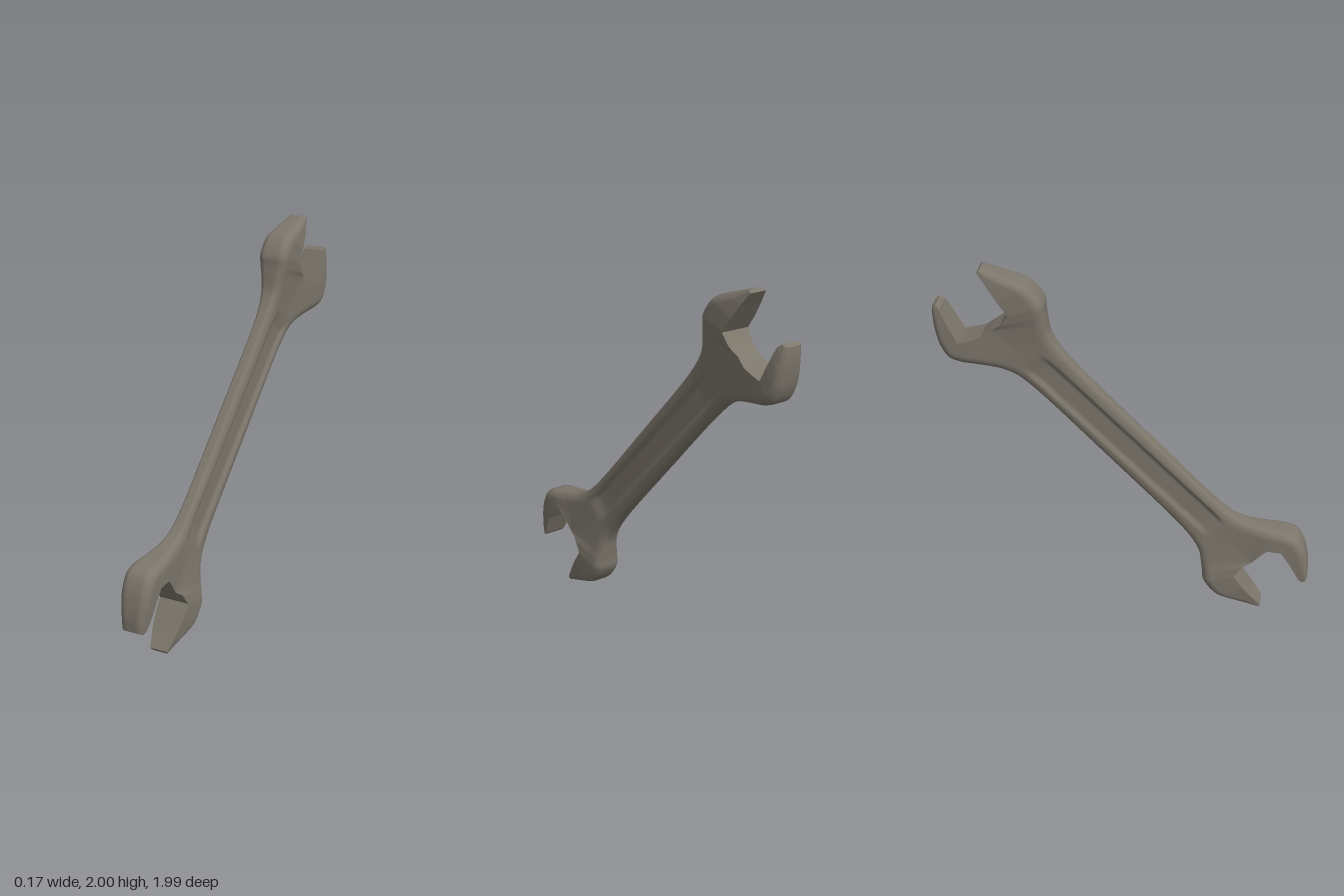
import * as THREE from 'three';
import { mergeVertices, mergeGeometries } from 'three/addons/utils/BufferGeometryUtils.js';

const SUB = 8;    // steps between stations
const N = 18;     // points across one face of a strip
const MOUTH = 4;  // station where the centre line splits into the two jaws

// Stations: [outer u, outer v, inner u, inner v, half thickness]; u runs to the back, v up.
const shank = [[0, 1, 0.042], [0.388, 1.388, 0.042], [0.5, 1.495, 0.048], [0.6, 1.59, 0.058], [0.692, 1.67, 0.068]];
const upperOuter = [[-0.088, 1.088], [0.283, 1.48], [0.366, 1.588], [0.398, 1.652], [0.41, 1.72]];
const lowerOuter = [[0.088, 0.912], [0.465, 1.3], [0.575, 1.394], [0.65, 1.428], [0.72, 1.443]];
const join = (outer) => outer.map((o, i) => [...o, ...shank[i]]);

const longJaw = [
  ...join(upperOuter),
  [0.418, 1.775, 0.639, 1.706, 0.078], [0.425, 1.83, 0.596, 1.77, 0.085],
  [0.495, 1.92, 0.65, 1.845, 0.083], [0.607, 1.963, 0.7, 1.915, 0.07],
  [0.735, 2.0, 0.751, 1.982, 0.05],
];
const shortJaw = (m) => [
  ...join(lowerOuter),
  [0.79, 1.453, ...m[0], 0.077], [0.863, 1.462, ...m[1], 0.083],
  [0.925, 1.487, ...m[2], 0.085], [0.965, 1.55, 0.895, 1.65, 0.083],
  [0.987, 1.63, 0.925, 1.71, 0.077], [0.997, 1.71, 0.953, 1.768, 0.065],
  [0.996, 1.77, 0.975, 1.785, 0.055],
];
const topMouth = [[0.746, 1.626], [0.805, 1.606], [0.863, 1.588]];
const bottomMouth = [[0.735, 1.612], [0.773, 1.572], [0.845, 1.577]];

// Shallow channel along the shank
function groove(u, v) {
  const along = Math.abs((u + v - 1) / 2);
  const across = Math.abs(v - 1 - u) / Math.SQRT2;
  return 0.016 * (1 - THREE.MathUtils.smoothstep(across, 0.045, 0.078))
    * (1 - THREE.MathUtils.smoothstep(along, 0.43, 0.5));
}

// Cross-section loops: front face from inner to outer edge, then the back face in return
function makeLoops(stations, turned) {
  const outer = new THREE.CatmullRomCurve3(stations.map(s => new THREE.Vector3(s[0], s[1], 0)));
  const segs = stations.length - 1;
  const loops = [];
  for (let i = 0; i <= segs * SUB; i++) {
    const k = Math.min(Math.floor(i / SUB), segs - 1), f = i / SUB - k;
    const mix = (c) => THREE.MathUtils.lerp(stations[k][c], stations[k + 1][c], f);
    const o = outer.getPoint(i / (segs * SUB));
    const iu = mix(2), iv = mix(3), h = mix(4);
    const width = Math.hypot(iu - o.x, iv - o.y);
    const r = Math.min(0.055, width * 0.6);
    const front = [], back = [];
    for (let j = N; j >= 0; j--) {
      const t = (j / N) ** 1.5;
      const u = THREE.MathUtils.lerp(o.x, iu, t), v = THREE.MathUtils.lerp(o.y, iv, t);
      const e = 1 - Math.min(1, t * width / r);
      const x = h * (0.42 + 0.58 * Math.sqrt(1 - e * e)) - groove(u, v);
      const [y, z] = turned ? [2 - v, u] : [v, -u];
      front.push([x, y, z]);
      back.unshift([-x, y, z]);
    }
    loops.push([...front, ...back]);
  }
  return loops;
}

function toGeometry(points) {
  const g = new THREE.BufferGeometry();
  g.setAttribute('position', new THREE.Float32BufferAttribute(points.flat(), 3));
  return g;
}

// One strip of the wrench: smooth skin, flat mouth wall and flat tip
function makeStrip(stations, flip, turned) {
  const loops = makeLoops(stations, turned);
  const skin = [], flat = [];
  const quad = (list, a, b, c, d) => flip ? list.push(a, c, b, a, d, c) : list.push(a, b, c, a, c, d);
  const last = 2 * N + 1;
  for (let i = 0; i < loops.length - 1; i++) {
    const p = loops[i], q = loops[i + 1];
    for (let j = 0; j < last; j++) quad(skin, p[j], q[j], q[j + 1], p[j + 1]);
    if (i >= MOUTH * SUB) quad(flat, p[last], q[last], q[0], p[0]);
  }
  const end = loops[loops.length - 1];
  for (let j = 0; j < N; j++) quad(flat, end[j], end[last - j], end[last - j - 1], end[j + 1]);
  return { skin: toGeometry(skin), flat: toGeometry(flat) };
}

export function createModel() {
  const steel = new THREE.MeshStandardMaterial({ color: 0x7c766b });
  steel.name = 'dull steel';

  const strips = [];
  for (const turned of [false, true]) {
    strips.push(makeStrip(longJaw, false, turned));
    strips.push(makeStrip(shortJaw(turned ? bottomMouth : topMouth), true, turned));
  }

  // Shank and outer jaws share one smooth skin
  const skin = mergeVertices(mergeGeometries(strips.map(s => s.skin)), 1e-5);
  skin.computeVertexNormals();
  const body = new THREE.Mesh(skin, steel);
  body.name = 'shankAndJaws';

  // Gripping faces and jaw tips keep sharp edges
  const faces = mergeGeometries(strips.map(s => s.flat));
  faces.computeVertexNormals();
  const grips = new THREE.Mesh(faces, steel);
  grips.name = 'gripFaces';

  const group = new THREE.Group();
  group.name = 'openEndWrench';
  group.add(body, grips);
  return group;
}
